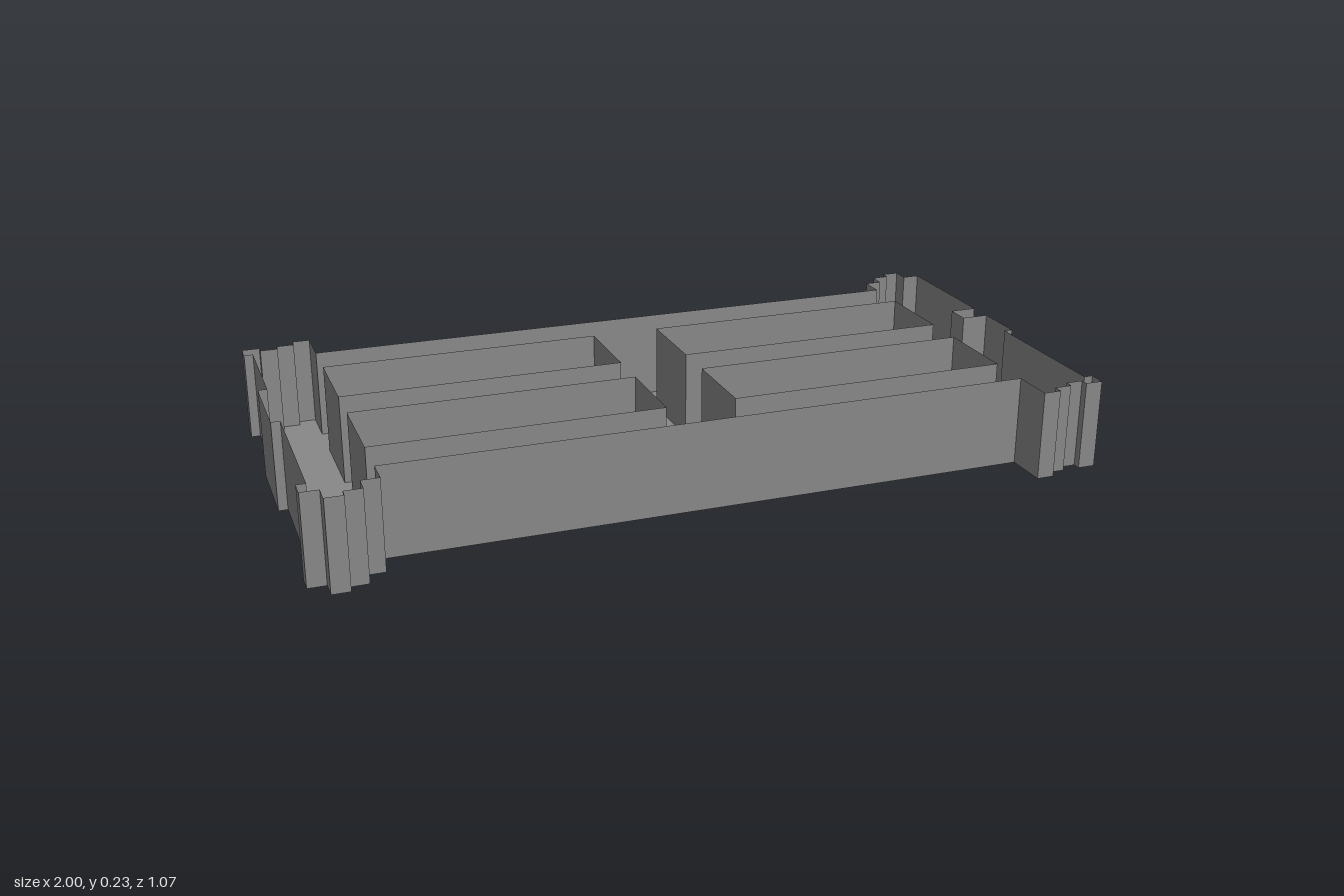
import * as THREE from 'three';

const HEIGHT = 0.23;
const material = new THREE.MeshStandardMaterial({ color: 0x888888, side: THREE.DoubleSide, flatShading: true });

// Staircase in plan: constant z over each 0.045 wide tread, starting at x
function steps(x, dx, depths) {
  return depths.flatMap((z, i) => [[x + dx * i, z], [x + dx * (i + 1), z]]);
}

// Outer plan outline as [x, z], running front-left-to-right, then back
const outline = [
  ...steps(-1, 0.045, [0.488, 0.535, 0.512, 0.468]),
  [-0.82, 0.4], [0.82, 0.4],
  ...steps(0.82, 0.045, [0.512, 0.488, 0.468, 0.488]),
  // +x end with its recess and square notch
  [1, 0.445], [0.977, 0.445], [0.977, 0.057], [1, 0.057],
  [1, -0.08], [0.928, -0.08], [0.928, -0.147], [1, -0.147],
  ...steps(1, -0.045, [-0.488, -0.535, -0.512, -0.468]),
  [0.82, -0.4], [-0.82, -0.4],
  ...steps(-0.82, -0.045, [-0.512, -0.488, -0.468, -0.488]),
  // -x end with its projecting tab
  [-1, -0.445], [-0.977, -0.445], [-0.977, -0.17], [-1, -0.17],
  [-1, 0.057], [-0.977, 0.057], [-0.977, 0.445], [-1, 0.445],
];

// Four rectangular openings, mirrored about both axes
const openings = [];
for (const sx of [-1, 1]) {
  for (const sz of [-1, 1]) {
    const [x0, x1] = [0.09 * sx, 0.82 * sx].sort((a, b) => a - b);
    const [z0, z1] = [0.057 * sz, 0.285 * sz].sort((a, b) => a - b);
    openings.push([[x0, z0], [x1, z0], [x1, z1], [x0, z1]]);
  }
}

// Upright thin wall following a closed plan loop
function wall(loop, name) {
  const positions = [];
  loop.forEach(([ax, az], i) => {
    const [bx, bz] = loop[(i + 1) % loop.length];
    positions.push(ax, 0, az, bx, 0, bz, bx, HEIGHT, bz);
    positions.push(ax, 0, az, bx, HEIGHT, bz, ax, HEIGHT, az);
  });
  const geometry = new THREE.BufferGeometry();
  geometry.setAttribute('position', new THREE.Float32BufferAttribute(positions, 3));
  geometry.computeVertexNormals();
  const mesh = new THREE.Mesh(geometry, material);
  mesh.name = name;
  return mesh;
}

export function createModel() {
  const group = new THREE.Group();
  group.name = 'openTray';

  // Floor plate pierced by the openings, turned to face down
  const toPlan = (loop) => loop.map(([x, z]) => new THREE.Vector2(x, z));
  const shape = new THREE.Shape(toPlan(outline));
  shape.holes = openings.map((loop) => new THREE.Path(toPlan(loop)));
  const floor = new THREE.Mesh(new THREE.ShapeGeometry(shape).rotateX(Math.PI / 2), material);
  floor.name = 'floor';
  group.add(floor);

  // Outer rim and the walls around each opening; the top stays open
  group.add(wall(outline, 'outerWall'));
  openings.forEach((loop, i) => group.add(wall(loop, `openingWall${i + 1}`)));
  return group;
}
